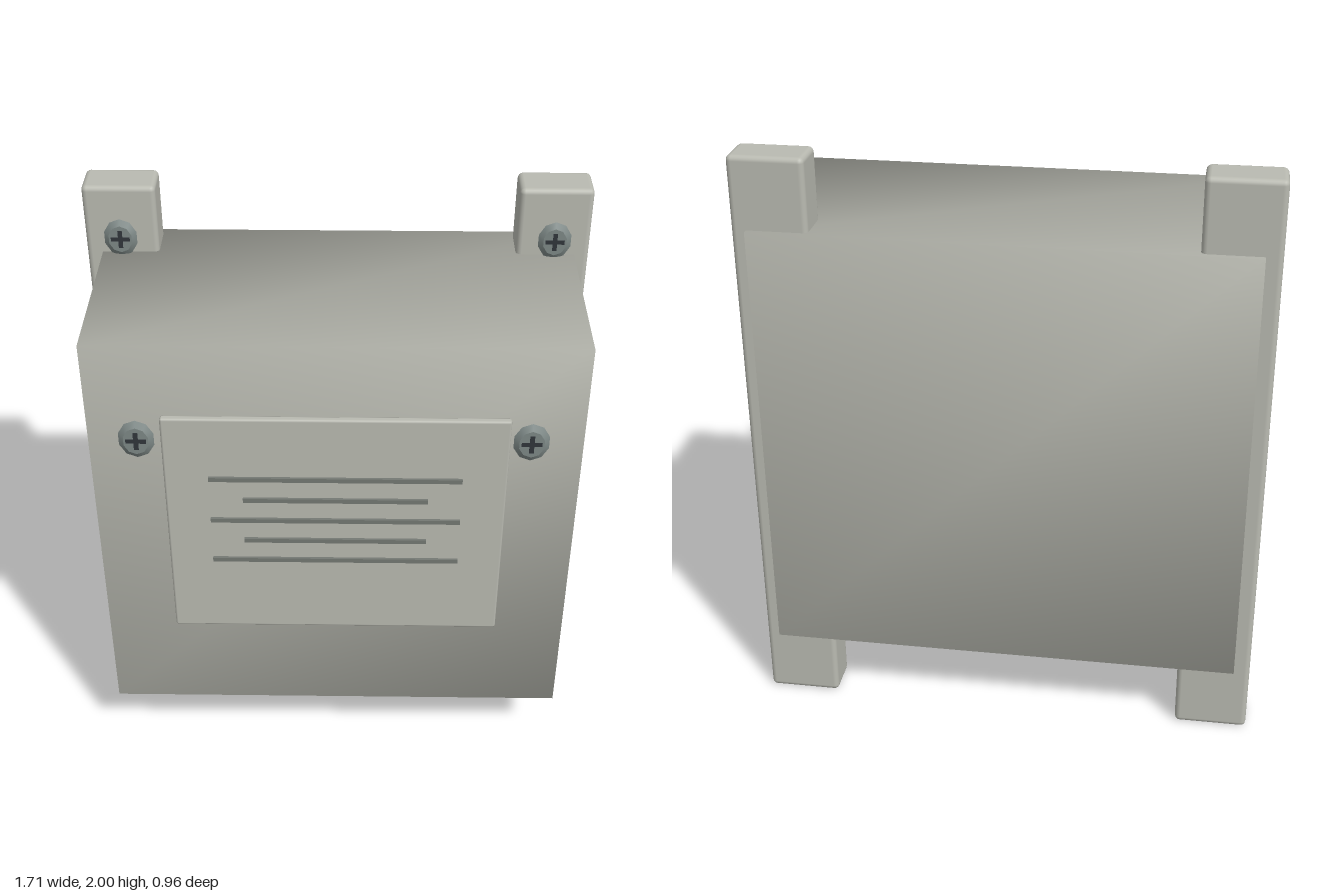
import * as THREE from 'three';
import { mergeVertices } from 'three/addons/utils/BufferGeometryUtils.js';
import { RoundedBoxGeometry } from 'three/addons/geometries/RoundedBoxGeometry.js';

const material = (name, color) => {
  const m = new THREE.MeshStandardMaterial({ color });
  m.name = name;
  return m;
};

export function createModel() {
  const casing = material('casing grey', 0xb9bab1);
  const steel = material('screw steel', 0x7d8886);
  const dark = material('dark recess', 0x30353a);
  const brass = material('brass', 0xb88a3c);
  const silver = material('terminal silver', 0xb4b6ae);
  const slotGrey = material('vent grey', 0x747973);

  const model = new THREE.Group();
  model.name = 'electricalBox';

  const add = (parent, name, geometry, mat, x = 0, y = 0, z = 0) => {
    const mesh = new THREE.Mesh(geometry, mat);
    mesh.name = name;
    mesh.position.set(x, y, z);
    parent.add(mesh);
    return mesh;
  };
  const box = (w, h, d) => new THREE.BoxGeometry(w, h, d);

  // Shared corners give the casing its soft shading
  const softBox = (w, h, d) => {
    const g = box(w, h, d);
    g.deleteAttribute('normal');
    g.deleteAttribute('uv');
    const merged = mergeVertices(g);
    merged.computeVertexNormals();
    return merged;
  };

  // Casing and floating front cover
  add(model, 'casing', softBox(1.605, 1.52, 0.765), casing, 0, 1, -0.098);
  add(model, 'frontCover', new RoundedBoxGeometry(1.125, 0.885, 0.026, 1, 0.008), casing, 0, 1.067, 0.306);

  // Vent bars, alternating long and short
  for (let i = 0; i < 5; i++) {
    const width = i % 2 ? 0.61 : 0.83;
    add(model, 'ventBar', box(width, 0.016, 0.009), slotGrey, 0, 1.28 - i * 0.085, 0.33);
  }

  // Mounting rails
  for (const x of [-0.733, 0.728]) {
    add(model, 'mountingRail', new RoundedBoxGeometry(0.247, 2, 0.143, 2, 0.018), casing, x, 1, -0.39);
  }

  // Cross-head screws
  const headGeometry = new THREE.CylinderGeometry(0.045, 0.064, 0.013, 10).rotateX(Math.PI / 2);
  headGeometry.scale(0.9, 1.08, 1);
  const addScrew = (x, y, z) => {
    const screw = new THREE.Group();
    screw.name = 'screw';
    screw.position.set(x, y, z);
    add(screw, 'screwHead', headGeometry, steel);
    add(screw, 'crossSlot', box(0.064, 0.015, 0.003), dark, 0, 0, 0.0065);
    add(screw, 'crossSlot', box(0.015, 0.064, 0.003), dark, 0, 0, 0.0065);
    model.add(screw);
  };
  for (const x of [-0.735, 0.73]) {
    addScrew(x, 1.82, -0.299);
    addScrew(x, 0.19, -0.299);
  }
  addScrew(-0.613, 1.54, 0.475);
  addScrew(0.607, 1.54, 0.475);

  // Side terminals, built facing +x and turned round for the other side
  const addTerminal = (side, y) => {
    const t = new THREE.Group();
    t.name = 'terminal';
    t.position.set(side * 0.8, y, -0.047);
    if (side < 0) t.rotation.y = Math.PI;
    add(t, 'backPlate', box(0.01, 0.15, 0.135), dark, 0.004, 0.005, 0);
    add(t, 'topCap', box(0.024, 0.032, 0.15), silver, 0.012, 0.072, 0);
    add(t, 'brassBase', box(0.026, 0.016, 0.135), brass, 0.013, -0.066, 0);
    add(t, 'darkStep', box(0.026, 0.016, 0.135), dark, 0.013, -0.05, 0);
    for (const s of [-1, 1]) {
      add(t, 'sideWall', box(0.022, 0.1, 0.016), dark, 0.011, 0.006, s * 0.06);
      add(t, 'capTab', box(0.024, 0.022, 0.016), silver, 0.013, 0.047, s * 0.066);
      add(t, 'brassPost', box(0.022, 0.06, 0.01), brass, 0.012, 0.0, s * 0.04);
    }
    add(t, 'clampPlate', box(0.008, 0.022, 0.09), silver, 0.022, -0.005, 0);
    add(t, 'brassClamp', box(0.014, 0.014, 0.07), brass, 0.014, -0.028, 0);
    const shaft = new THREE.CylinderGeometry(0.012, 0.012, 0.04, 8).rotateZ(-Math.PI / 2);
    add(t, 'boltShaft', shaft, silver, 0.024, 0.035, 0);
    const head = new THREE.CylinderGeometry(0.024, 0.028, 0.012, 10).rotateZ(-Math.PI / 2);
    add(t, 'boltHead', head, silver, 0.045, 0.035, 0);
    model.add(t);
  };
  for (const y of [0.55, 1.0]) addTerminal(1, y);
  for (const y of [0.55, 1.0, 1.45]) addTerminal(-1, y);

  return model;
}
